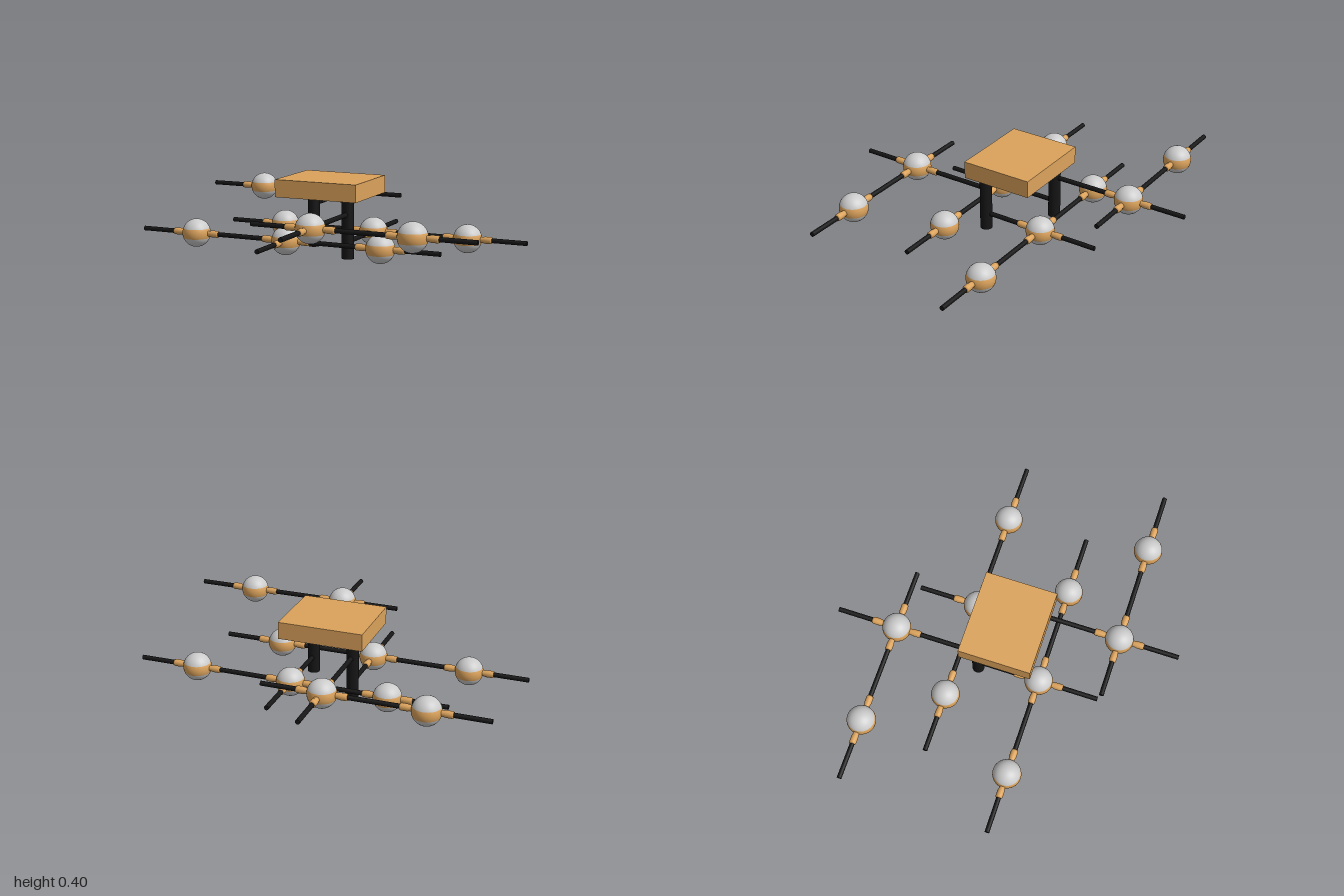
import * as THREE from 'three';

const material = (color, extra = {}) => new THREE.MeshStandardMaterial({ color, ...extra });

export function createModel() {
  const model = new THREE.Group();
  const grey = material(0xcccccc);
  const tan = material(0xdca35c);
  const tanOpen = material(0xdca35c, { side: THREE.DoubleSide });
  const black = material(0x151515);

  const add = (parent, name, geometry, mat, x = 0, y = 0, z = 0) => {
    const mesh = new THREE.Mesh(geometry, mat);
    mesh.name = name;
    mesh.position.set(x, y, z);
    parent.add(mesh);
    return mesh;
  };

  // Shared ball zones: grey caps above and below a tan waist
  const R = 0.075;
  const band = 0.35;
  const capAngle = Math.PI / 2 - band;
  const topCap = new THREE.SphereGeometry(R, 32, 10, 0, Math.PI * 2, 0, capAngle);
  const waist = new THREE.SphereGeometry(R, 32, 6, 0, Math.PI * 2, capAngle, band * 2);
  const bottomCap = new THREE.SphereGeometry(R, 32, 10, 0, Math.PI * 2, Math.PI - capAngle, capAngle);

  // Collar turned along y, starting inside the ball
  const collar = new THREE.LatheGeometry(
    [[0.015, 0.06], [0.016, 0.085], [0.0185, 0.095], [0.0185, 0.125], [0.016, 0.133], [0, 0.133]]
      .map(([r, y]) => new THREE.Vector2(r, y)), 16);

  const addBall = (parent, x, y, z, crossed) => {
    const ball = new THREE.Group();
    ball.name = 'ball';
    ball.position.set(x, y, z);
    add(ball, 'ballTop', topCap, grey);
    add(ball, 'ballWaist', waist, tan);
    add(ball, 'ballBottom', bottomCap, grey);
    for (const s of [-1, 1]) {
      add(ball, 'collar', collar, tan).rotation.z = s * Math.PI / 2;
      if (crossed) add(ball, 'crossCollar', collar, tan).rotation.x = s * Math.PI / 2;
    }
    parent.add(ball);
  };

  // Rod along x or z between two coordinates
  const addRod = (parent, axis, from, to, y, across) => {
    const geometry = new THREE.CylinderGeometry(0.0125, 0.0125, to - from, 16);
    const mid = (from + to) / 2;
    if (axis === 'x') add(parent, 'rod', geometry, black, mid, y, across).rotation.z = Math.PI / 2;
    else add(parent, 'crossRod', geometry, black, across, y, mid).rotation.x = Math.PI / 2;
  };

  // Each half is the other turned half way round the vertical axis
  const low = 0.087, high = 0.23, px = 0.151, zIn = 0.22, zOut = 0.56;
  for (const turn of [0, Math.PI]) {
    const half = new THREE.Group();
    half.name = turn ? 'backHalf' : 'frontHalf';
    half.rotation.y = turn;

    add(half, 'post', new THREE.CylinderGeometry(0.032, 0.032, 0.31, 24), black, px, 0.155, 0.115);

    // Upper level
    addRod(half, 'x', -0.17, 1, high, zOut);
    addRod(half, 'z', 0.115, 0.88, high, px);
    addBall(half, px, high, zOut, true);
    addBall(half, 0.68, high, zOut, false);

    // Lower level
    addRod(half, 'x', -1, 0.695, low, zIn);
    addRod(half, 'z', -0.115, 0.542, low, -px);
    addBall(half, -px, low, zIn, true);
    for (const x of [-0.68, 0.375]) addBall(half, x, low, zIn, false);

    model.add(half);
  }

  // Hollow lid on the posts, open underneath
  const lid = new THREE.BoxGeometry(0.455, 0.092, 0.385);
  lid.setIndex([...lid.index.array].filter((_, i) => i < 18 || i >= 24));
  lid.clearGroups();
  add(model, 'lid', lid, tanOpen, 0, 0.35, 0);

  return model;
}
